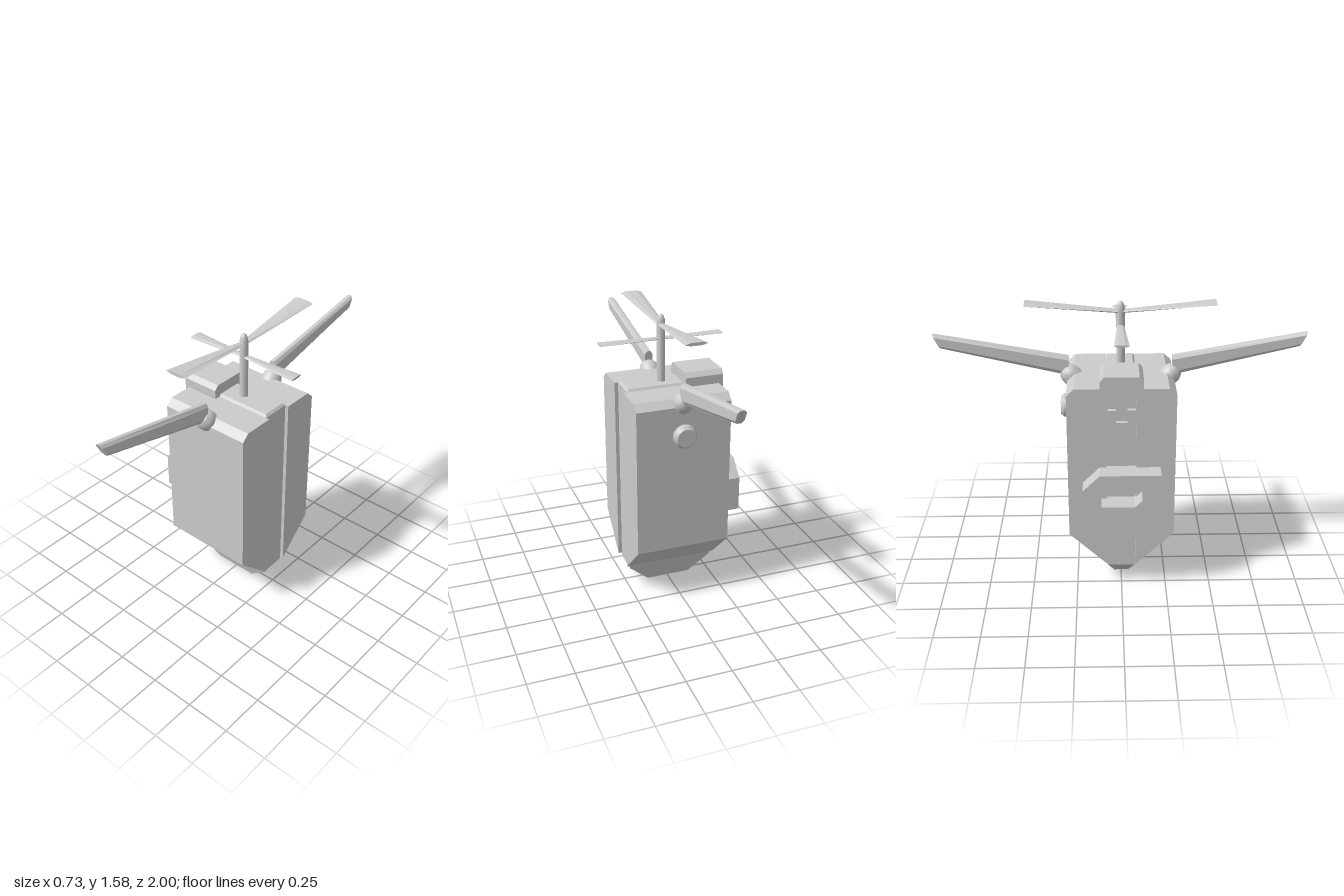
import * as THREE from 'three';
import { toCreasedNormals } from 'three/addons/utils/BufferGeometryUtils.js';

const material = new THREE.MeshStandardMaterial({ color: 0xcccccc });

function add(parent, name, geometry, x = 0, y = 0, z = 0) {
  const mesh = new THREE.Mesh(geometry, material);
  mesh.name = name;
  mesh.position.set(x, y, z);
  parent.add(mesh);
  return mesh;
}

// Skin a row of equal-length rings and cap both ends
function loft(rings) {
  const pos = [];
  const tri = (a, b, c) => pos.push(...a, ...b, ...c);
  const n = rings[0].length;
  for (let s = 0; s < rings.length - 1; s++) {
    for (let i = 0; i < n; i++) {
      const j = (i + 1) % n, A = rings[s], B = rings[s + 1];
      tri(A[i], A[j], B[j]);
      tri(A[i], B[j], B[i]);
    }
  }
  const first = rings[0], last = rings[rings.length - 1];
  for (let i = 1; i < n - 1; i++) {
    tri(first[0], first[i + 1], first[i]);
    tri(last[0], last[i], last[i + 1]);
  }
  const g = new THREE.BufferGeometry();
  g.setAttribute('position', new THREE.Float32BufferAttribute(pos, 3));
  g.computeVertexNormals();
  return g;
}

// Extrude a (z, y) outline from x0 to x1
function slab(outline, x0, x1, hole) {
  const toPoints = (list) => list.map(([z, y]) => new THREE.Vector2(z, y));
  const shape = new THREE.Shape(toPoints(outline));
  if (hole) shape.holes.push(new THREE.Path(toPoints(hole)));
  const g = new THREE.ExtrudeGeometry(shape, { depth: x1 - x0, bevelEnabled: false });
  return g.rotateY(-Math.PI / 2).translate(x1, 0, 0);
}

function turned(profile) {
  const points = profile.map(([r, y]) => new THREE.Vector2(r, y));
  return toCreasedNormals(new THREE.LatheGeometry(points, 24), 0.5);
}

// Horizontal rectangle ring
const rect = (y, x0, x1, z) => [[x1, y, z], [x1, y, -z], [x0, y, -z], [x0, y, z]];

// Rotor blade along +z, widening and rising to the tip
function blade(length, rootWidth, tipWidth, rise, thick) {
  const ring = (z, w, y) => [
    [w, y, z], [w * 0.5, y + thick, z], [-w * 0.5, y + thick, z],
    [-w, y, z], [-w * 0.5, y - thick, z], [w * 0.5, y - thick, z],
  ];
  return loft([ring(0, rootWidth, 0), ring(length, tipWidth, rise)]);
}

// Arm cross-section: an octagon between a bottom and a top point
function armRing([zb, yb], [zt, yt], w) {
  const octagon = [[1, 0.2], [1, 0.82], [0.45, 1], [-0.45, 1], [-1, 0.82], [-1, 0.2], [-0.45, 0], [0.45, 0]];
  return octagon.map(([x, t]) => [x * w, yb + (yt - yb) * t, zb + (zt - zb) * t]);
}

export function createModel() {
  const model = new THREE.Group();

  // Body: two half shells beside a slightly recessed core
  const half = [[0.08, 0.13], [0.29, 0.33], [0.29, 1.163], [0.25, 1.2], [0.08, 1.2]];
  add(model, 'frontShell', slab(half, -0.27, 0.26));
  add(model, 'backShell', slab(half.map(([z, y]) => [-z, y]), -0.27, 0.26));
  add(model, 'core', loft([
    rect(0.04, -0.115, 0.105, 0.028),
    rect(0, -0.115, 0.105, 0.028),
    rect(0, -0.13, 0.12, 0.04),
    rect(0.112, -0.25, 0.24, 0.075),
    rect(0.13, -0.25, 0.24, 0.08),
    rect(1.2, -0.25, 0.24, 0.08),
    rect(1.213, -0.24, 0.228, 0.07),
  ]));

  // Lower sloping ends under the shells
  add(model, 'footWedge', loft([
    rect(0, -0.13, 0.12, 0.04),
    rect(0.13, -0.27, 0.26, 0.08),
  ].map((r) => r.map(([x, y, z]) => [x, y + 0.0005, z * 0.998]))).scale(1, 1, 1)).visible = false;

  // Top bracket hooking over the right side, with a cross-shaped cutout
  const bracket = [
    [-0.05, 0.97], [0.05, 0.97], [0.115, 1.05], [0.115, 1.25],
    [0.092, 1.275], [-0.092, 1.275], [-0.115, 1.25], [-0.115, 1.05],
  ];
  const cross = [
    [-0.03, 1.02], [0.03, 1.02], [0.03, 1.09], [0.075, 1.09], [0.075, 1.16], [0.03, 1.16],
    [0.03, 1.23], [-0.03, 1.23], [-0.03, 1.16], [-0.075, 1.16], [-0.075, 1.09], [-0.03, 1.09],
  ];
  add(model, 'bracketBlock', slab(bracket, -0.27, -0.08));
  add(model, 'bracketPlate', slab(bracket, -0.295, -0.27, cross));

  // Side handle plate with a slot
  const handle = [[-0.21, 0.46], [0.12, 0.46], [0.21, 0.55], [0.21, 0.745], [-0.12, 0.745], [-0.21, 0.655]];
  const slot = [[-0.11, 0.555], [0.07, 0.555], [0.11, 0.595], [0.11, 0.65], [-0.07, 0.65], [-0.11, 0.61]];
  add(model, 'sideHandle', slab(handle, -0.37, -0.25, slot));

  // Round knob on the back
  const knob = turned([[0.065, -0.01], [0.065, 0.02], [0.05, 0.038], [0, 0.038]]);
  add(model, 'backKnob', knob, -0.005, 1, -0.29).rotation.x = -Math.PI / 2;

  // Front and back arms with their tilted sockets
  const socket = turned([[0.055, -0.03], [0.055, 0.012], [0.046, 0.035], [0.03, 0.052], [0, 0.052]]);
  const arm = loft([
    armRing([0.285, 1.18], [0.277, 1.288], 0.023),
    armRing([0.962, 1.338], [1, 1.415], 0.023),
  ]);
  ['front', 'back'].forEach((side, i) => {
    const group = new THREE.Group();
    group.name = side + 'Arm';
    group.position.x = -0.005;
    group.rotation.y = i * Math.PI;
    add(group, side + 'ArmSocket', socket, 0, 1.18, 0.27).rotation.x = Math.PI / 4;
    add(group, side + 'ArmBeam', arm);
    model.add(group);
  });

  // Mast with rounded tip and two crossed rotors
  const rotor = new THREE.Group();
  rotor.name = 'rotor';
  rotor.position.x = 0.021;
  add(rotor, 'mast', turned([
    [0.023, 1.19], [0.023, 1.53], [0.021, 1.555], [0.015, 1.573], [0.007, 1.582], [0, 1.584],
  ]));
  const upper = blade(0.508, 0.02, 0.061, 0.046, 0.008);
  const lower = blade(0.342, 0.018, 0.04, 0, 0.006);
  for (let i = 0; i < 2; i++) {
    add(rotor, 'upperBlade', upper, 0, 1.527, 0).rotation.y = i * Math.PI;
    add(rotor, 'lowerBlade', lower, 0, 1.452, 0).rotation.y = (i + 0.5) * Math.PI;
  }
  model.add(rotor);

  // Drop parts that are not shown
  model.children.filter((part) => !part.visible).forEach((part) => model.remove(part));
  return model;
}
